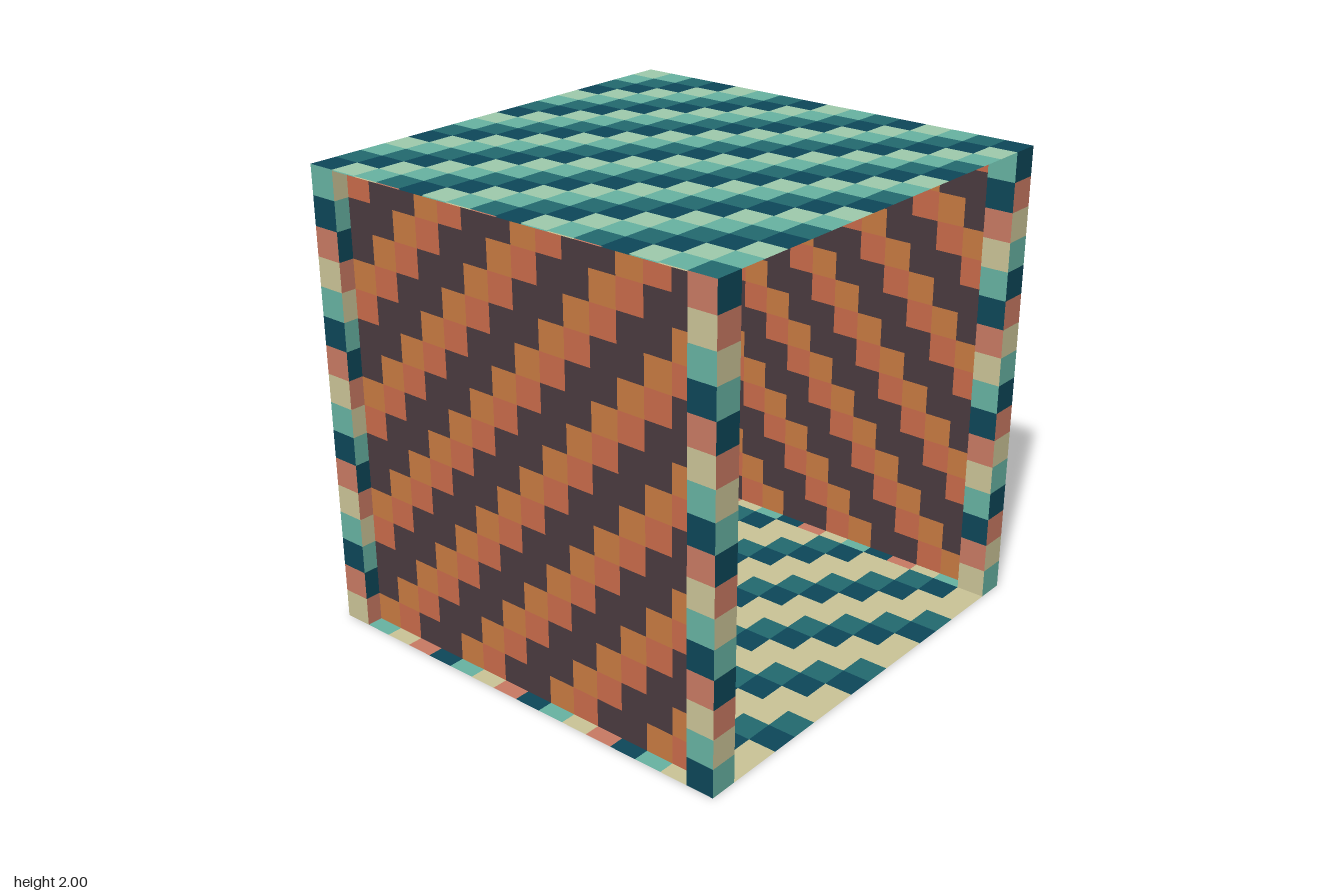
import * as THREE from 'three';

const N = 16;          // tiles along one side
const T = 2 / N;       // tile size

const mat = (name, color) => {
  const m = new THREE.MeshStandardMaterial({ color, side: THREE.DoubleSide });
  m.name = name;
  return m;
};

export function createModel() {
  const navy = mat('navy', 0x0d4759);
  const deepTeal = mat('deepTeal', 0x226a6f);
  const teal = mat('teal', 0x67b3a2);
  const paleGreen = mat('paleGreen', 0x9fcbac);
  const beige = mat('beige', 0xcbc497);
  const coral = mat('coral', 0xc97a63);
  const brown = mat('brown', 0x4a3a3f);
  const orange = mat('orange', 0xc87a42);
  const rust = mat('rust', 0xc96b4a);

  const roofSet = [navy, deepTeal, teal, paleGreen];
  const floorSet = [navy, deepTeal, beige, beige];
  const wallSet = [orange, rust, brown, brown];
  const postSet = [navy, coral, beige, teal];

  const model = new THREE.Group();
  model.name = 'tiledOpenCube';

  // A sheet of square tiles; pick(column, row) gives the index into the colour set
  function sheet(name, cols, rows, set, pick, parent = model) {
    const g = new THREE.PlaneGeometry(cols * T, rows * T, cols, rows);
    g.clearGroups();
    for (let r = 0; r < rows; r++)
      for (let c = 0; c < cols; c++)
        g.addGroup((r * cols + c) * 6, 6, (((pick(c, r) % 4) + 4) % 4));
    const mesh = new THREE.Mesh(g, set);
    mesh.name = name;
    parent.add(mesh);
    return mesh;
  }

  // Roof and floor with diagonal steps
  const roof = sheet('roof', N, N, roofSet, (c, r) => c - r);
  roof.rotation.x = -Math.PI / 2;
  roof.position.y = 2;
  const floor = sheet('floor', N - 2, N, floorSet, (c, r) => c + 1 - r);
  floor.rotation.x = -Math.PI / 2;

  // Recessed side walls with the edge strips above and below them
  for (const s of [1, -1]) {
    const side = new THREE.Group();
    side.name = s > 0 ? 'leftSide' : 'rightSide';
    side.rotation.y = s > 0 ? 0 : Math.PI;
    model.add(side);

    const wall = sheet('wall', N - 2, N, wallSet, (c, r) => c + 1 + r, side);
    wall.rotation.y = Math.PI / 2;
    wall.position.set(0.93, 1, 0);

    for (const [name, y] of [['lowerStrip', 0], ['upperStrip', 1.996]]) {
      const strip = sheet(name, 1, N, postSet, (c, r) => r + 1, side);
      strip.rotation.x = -Math.PI / 2;
      strip.position.set(1 - T / 2, y, 0);
    }
  }

  // Corner posts: four tiled faces, each starting at its own colour
  const posts = [
    ['frontLeftPost', 1, 1, 0, 3],
    ['frontRightPost', -1, 1, 0, 1],
    ['backLeftPost', 1, -1, 0, 1],
    ['backRightPost', -1, -1, 2, 3],
  ];
  for (const [name, sx, sz, endShift, sideShift] of posts) {
    const post = new THREE.Group();
    post.name = name;
    post.position.set(sx * (1 - T / 2), 1, sz * (1 - T / 2));
    model.add(post);
    for (let i = 0; i < 4; i++) {
      const shift = i % 2 ? sideShift : endShift;
      const face = sheet('postFace', 1, N, postSet, (c, r) => r + shift, post);
      const a = (i * Math.PI) / 2;
      face.rotation.y = a;
      face.position.set(Math.sin(a) * T / 2, 0, Math.cos(a) * T / 2);
    }
  }
  return model;
}
